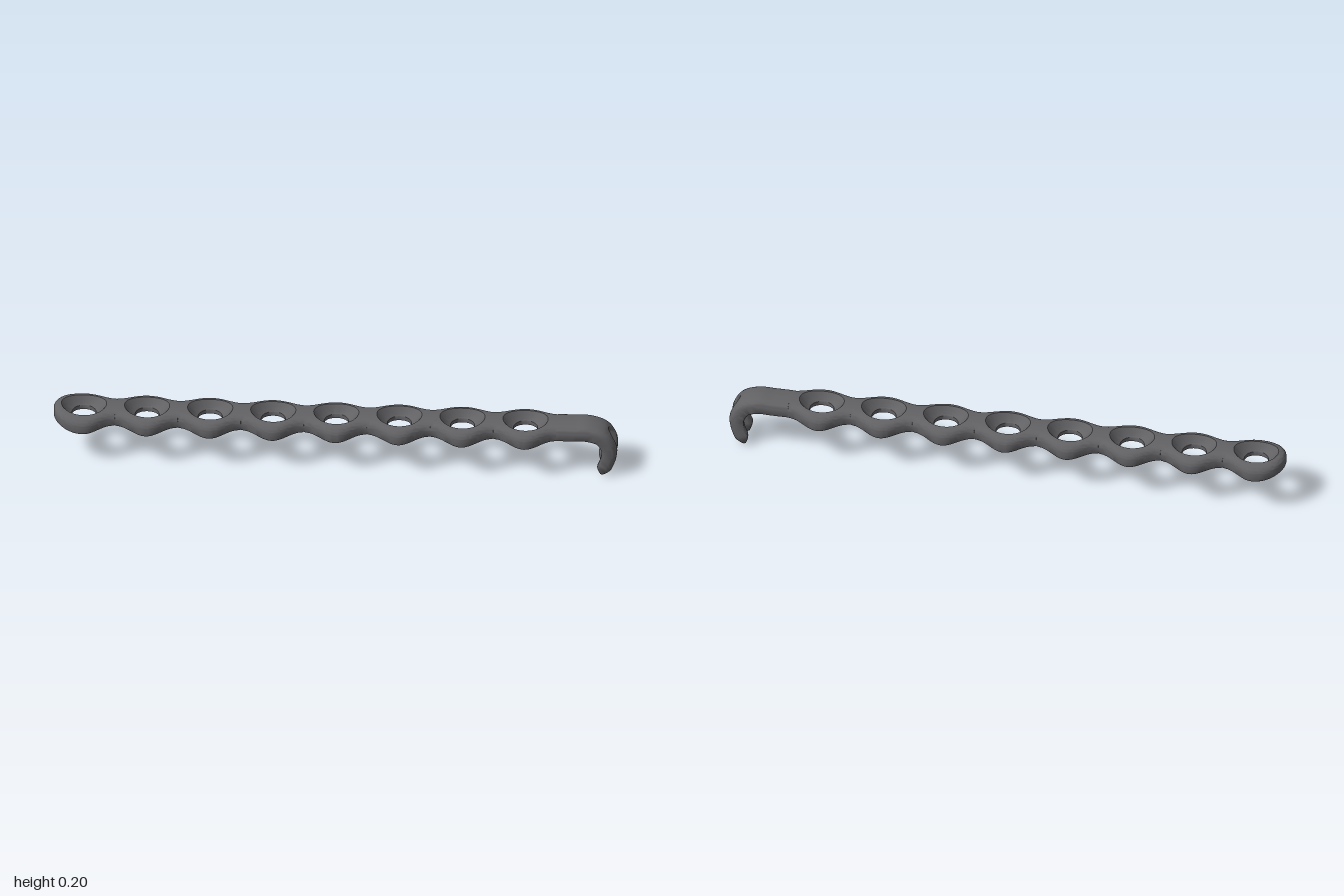
import * as THREE from 'three';
import { toCreasedNormals } from 'three/addons/utils/BufferGeometryUtils.js';

const PITCH = 0.2232, HALF = PITCH / 2, HOLES = 8, FIRST = -0.893;
const TOP = 0.205, BOTTOM = 0.153, HOLE = 0.043, WAIST = 0.055;
const ROUND_TOP = 0.022, ROUND_BOTTOM = 0.009;

const lerp = THREE.MathUtils.lerp;
const arch = z => 2.2 * z * z; // sideways curve of the plate
const halfWidth = u => 0.0755 + 0.0205 * Math.cos(2 * Math.PI * u / PITCH);

// Distance to the scalloped edge; the first cell has a round outer end
function edgeDistance(u, z, isEnd) {
  if (isEnd && u < 0) return (1 - Math.hypot(u / 0.107, z / 0.096)) * 0.096;
  return halfWidth(u) - Math.abs(z);
}
function roundOff(d, r) {
  const k = THREE.MathUtils.clamp(r - d, 0, r);
  return r - Math.sqrt(r * r - k * k);
}

function finish(positions, indices) {
  const g = new THREE.BufferGeometry();
  g.setAttribute('position', new THREE.Float32BufferAttribute(positions, 3));
  g.setIndex(indices);
  return toCreasedNormals(g, 0.7);
}

// Whole perforated plate: each hole cell is a ring of radial sections
function plateGeometry() {
  const pos = [], idx = [];
  const corner = Math.atan2(WAIST, HALF), quarter = [];
  for (let i = 0; i < 8; i++) quarter.push(corner * i / 8);
  for (let i = 0; i < 12; i++) quarter.push(lerp(corner, Math.PI / 2, i / 12));
  const angles = [
    ...quarter, Math.PI / 2, ...quarter.slice(1).reverse().map(a => Math.PI - a),
    ...quarter.map(a => Math.PI + a), Math.PI * 1.5,
    ...quarter.slice(1).reverse().map(a => 2 * Math.PI - a),
  ];
  const steps = [0, 0.3, 0.5, 0.65, 0.78, 0.88, 0.95, 0.985, 1];
  for (let h = 0; h < HOLES; h++) {
    const cx = FIRST + h * PITCH, isEnd = h === 0, base = pos.length / 3;
    const inside = (u, z) => u <= HALF && (isEnd || u >= -HALF) && edgeDistance(u, z, isEnd) >= 0;
    const onSeam = [];
    let count = 0;
    for (const a of angles) {
      const c = Math.cos(a), s = Math.sin(a);
      let lo = 0.05, hi = 0.16;
      for (let k = 0; k < 40; k++) {
        const m = (lo + hi) / 2;
        if (inside(m * c, m * s)) lo = m; else hi = m;
      }
      onSeam.push(edgeDistance(lo * c, lo * s, isEnd) > 1e-4);
      const topY = r => TOP - arch(r * s) - roundOff(edgeDistance(r * c, r * s, isEnd), ROUND_TOP);
      const lowY = r => BOTTOM - arch(r * s) + roundOff(edgeDistance(r * c, r * s, isEnd), ROUND_BOTTOM);
      const rim = 1 / Math.hypot(c / 0.08, s / 0.062);
      const section = [];
      for (const t of [...steps].reverse()) {
        const r = lerp(HOLE, lo, t);
        section.push([r, lowY(r)]);
      }
      // countersunk bowl
      for (let k = 0; k <= 5; k++) {
        const r = lerp(HOLE, rim, k / 5);
        section.push([r, lerp(0.166, topY(rim), Math.pow(k / 5, 1.3))]);
      }
      for (const t of steps.slice(1)) {
        const r = lerp(rim, lo, t);
        section.push([r, topY(r)]);
      }
      count = section.length;
      for (const [r, y] of section) pos.push(cx + r * c, y, r * s);
    }
    const n = angles.length;
    for (let i = 0; i < n; i++) {
      const i2 = (i + 1) % n;
      for (let j = 0; j < count; j++) {
        const j2 = (j + 1) % count;
        // the side wall is left out where two cells join
        if (j2 === 0 && (onSeam[i] || onSeam[i2])) continue;
        const a = base + i * count + j, b = base + i2 * count + j;
        const c = base + i * count + j2, d = base + i2 * count + j2;
        idx.push(a, b, c, b, d, c);
      }
    }
  }
  return finish(pos, idx);
}

// One half of the strap, running on into one prong of the forked hook
function prongGeometry(side) {
  const joint = FIRST + (HOLES - 1) * PITCH + HALF;
  const path = new THREE.CatmullRomCurve3([
    [joint, 0.179], [0.84, 0.179], [0.895, 0.179], [0.945, 0.16],
    [0.97, 0.115], [0.967, 0.07], [0.953, 0.032], [0.941, 0.004],
  ].map(([x, y]) => new THREE.Vector3(x, y, 0)));
  const stations = [];
  for (let i = 0; i <= 18; i++) stations.push(0.5 * i / 18);
  for (const u of [0.503, 0.51, 0.52, 0.535, 0.55, 0.57]) stations.push(u);
  for (let i = 1; i <= 16; i++) stations.push(lerp(0.57, 0.9, i / 16));
  stations.push(0.93, 0.96, 0.985, 1);

  const pos = [], idx = [];
  let count = 0;
  for (const u of stations) {
    const p = path.getPointAt(u), t = path.getTangentAt(u);
    const open = Math.sqrt(THREE.MathUtils.clamp((u - 0.5) / 0.07, 0, 1));
    const inner = 0.023 * open, h = 0.026;
    const tip = u > 0.9 ? 1 - 0.8 * Math.pow((u - 0.9) / 0.1, 1.5) : 1;
    const ring = [];
    // corners: centre signs, radius, start angle
    const corners = [
      [inner, h, 1, -1, 0.009 * open, Math.PI], [WAIST, h, -1, -1, 0.018, Math.PI / 2],
      [WAIST, -h, -1, 1, 0.01, 0], [inner, -h, 1, 1, 0.009 * open, -Math.PI / 2],
    ];
    for (const [z, n, sz, sn, r, start] of corners) {
      for (let k = 0; k <= 4; k++) {
        const a = start - k * Math.PI / 8;
        ring.push([z + sz * r + r * Math.cos(a), n + sn * r + r * Math.sin(a)]);
      }
      // extra points follow the arch across the flat top
      if (n > 0 && z === inner) for (const f of [0.33, 0.67]) ring.push([lerp(inner, WAIST - 0.018, f), h]);
    }
    count = ring.length;
    for (const [z0, n0] of ring) {
      const z = lerp(0.037, z0, tip), n = (n0 - arch(z0)) * tip;
      pos.push(p.x - t.y * n, p.y + t.x * n, side * z);
    }
  }
  const quad = (a, b, c) => (side > 0 ? idx.push(a, b, c) : idx.push(a, c, b));
  for (let i = 0; i < stations.length - 1; i++) {
    for (let k = 0; k < count; k++) {
      const a = i * count + k, b = i * count + (k + 1) % count;
      quad(a, b, a + count);
      quad(b, b + count, a + count);
    }
  }
  const last = (stations.length - 1) * count;
  for (let k = 1; k < count - 1; k++) quad(last, last + k, last + k + 1);
  return finish(pos, idx);
}

export function createModel() {
  const metal = new THREE.MeshStandardMaterial({ color: 0x626265 });
  metal.name = 'dark metal';
  const group = new THREE.Group();
  group.name = 'hookPlate';
  const add = (name, geometry) => {
    const mesh = new THREE.Mesh(geometry, metal);
    mesh.name = name;
    group.add(mesh);
  };
  add('perforatedPlate', plateGeometry());
  add('frontHookProng', prongGeometry(1));
  add('backHookProng', prongGeometry(-1));
  return group;
}
